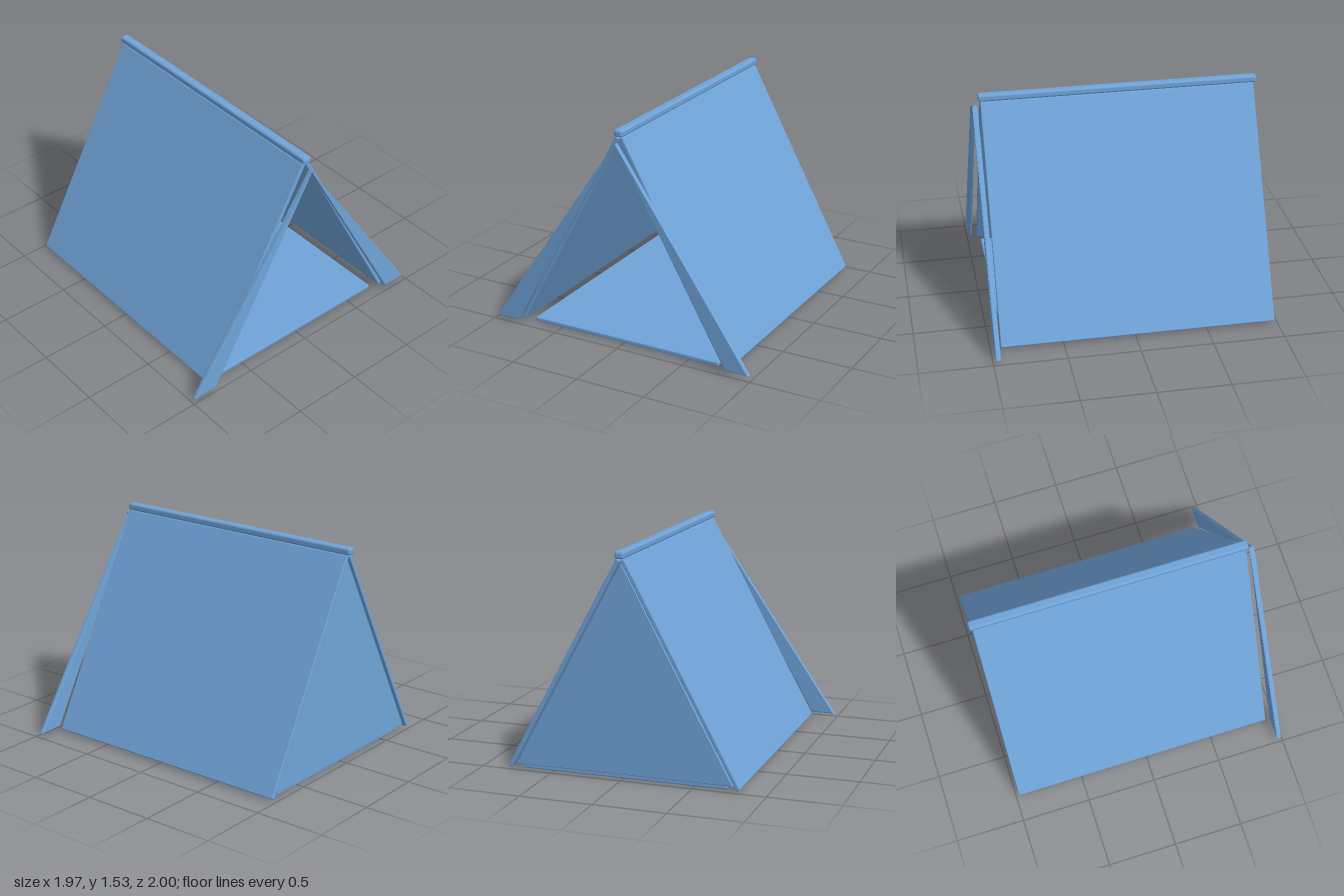
import * as THREE from 'three';
import { RoundedBoxGeometry } from 'three/addons/geometries/RoundedBoxGeometry.js';

export function createModel() {
  const tent = new THREE.Group();
  tent.name = 'tent';
  const cloth = new THREE.MeshStandardMaterial({ color: 0x6fa3d8 });

  function add(name, geometry, x = 0, y = 0, z = 0) {
    const mesh = new THREE.Mesh(geometry, cloth);
    mesh.name = name;
    mesh.position.set(x, y, z);
    tent.add(mesh);
    return mesh;
  }

  // Thin panel with softened edges, cut to an outline in the xy plane, centred on z = 0
  function panel(points, thickness, bevel = 0.008) {
    const shape = new THREE.Shape(points.map(([x, y]) => new THREE.Vector2(x, y)));
    const geometry = new THREE.ExtrudeGeometry(shape, {
      depth: thickness - 2 * bevel,
      bevelThickness: bevel,
      bevelSize: bevel,
      bevelOffset: -bevel,
      bevelSegments: 3,
    });
    return geometry.translate(0, 0, -thickness / 2 + bevel);
  }

  // Ground sheet and ridge beam
  add('floor', new RoundedBoxGeometry(1.44, 0.03, 1.85, 3, 0.008), 0, 0.015, -0.02);
  add('ridgeBeam', new RoundedBoxGeometry(0.064, 0.05, 1.945, 4, 0.016), 0, 1.508, -0.0275);

  // Closed triangular back
  add('backWall', panel([[-0.767, 0.03], [0.767, 0.03], [0, 1.455]], 0.03), 0, 0, -0.95);

  // Sloping roof sides: inner face runs from the foot to the ridge
  const foot = new THREE.Vector2(0.793, 0.005);
  const top = new THREE.Vector2(0, 1.471);
  const slope = foot.distanceTo(top);
  const lean = Math.atan2(foot.x, top.y - foot.y);
  const thick = 0.03;
  for (const side of [1, -1]) {
    const label = side > 0 ? 'left' : 'right';
    const x = foot.x / 2 + Math.cos(lean) * thick / 2;
    const y = (foot.y + top.y) / 2 + Math.sin(lean) * thick / 2;
    const roof = add(label + 'RoofPanel',
      new RoundedBoxGeometry(thick, slope, 1.91, 3, 0.008), side * x, y, -0.025);
    roof.rotation.z = side * lean;

    // Narrow door flap folded outward, the right one slightly in front
    const outline = [[side * 0.805, 0.025], [side * 0.983, 0.025], [0, 1.452]];
    add(label + 'DoorFlap', panel(outline, 0.035, 0.012), 0, 0, side > 0 ? 0.965 : 0.978);
  }

  return tent;
}
